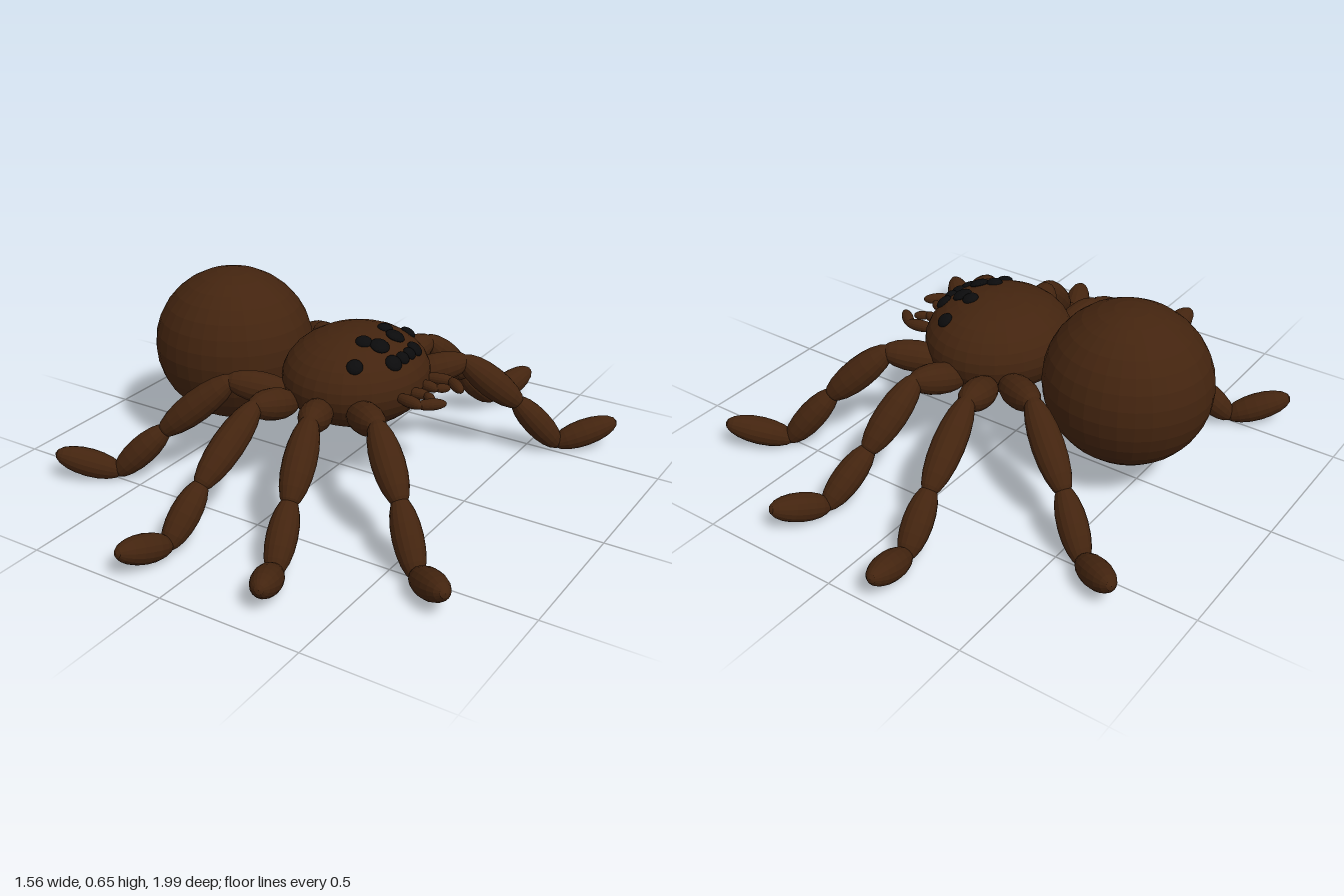
import * as THREE from 'three';

const BODY = { c: new THREE.Vector3(0.07, 0.395, 0), r: new THREE.Vector3(0.25, 0.165, 0.27) };

export function createModel() {
  const group = new THREE.Group();
  group.name = 'spider';
  const brown = new THREE.MeshStandardMaterial({ color: 0x43240f, flatShading: true });
  brown.name = 'dark brown';
  const black = new THREE.MeshStandardMaterial({ color: 0x0b0b0c, flatShading: true });
  black.name = 'eye black';

  const sphere = new THREE.SphereGeometry(1, 32, 16);
  const smallSphere = new THREE.SphereGeometry(1, 16, 10);
  const up = new THREE.Vector3(0, 1, 0);

  const ellipsoid = (name, parent, geometry, material, centre, radii) => {
    const mesh = new THREE.Mesh(geometry, material);
    mesh.name = name;
    mesh.position.copy(centre);
    mesh.scale.copy(radii);
    parent.add(mesh);
    return mesh;
  };

  // Ellipsoid stretched between two points, overlapping its neighbours a little
  const segment = (name, parent, a, b, radius, overlap) => {
    const dir = b.clone().sub(a);
    const mesh = ellipsoid(name, parent, smallSphere, brown, a.clone().add(b).multiplyScalar(0.5),
      new THREE.Vector3(radius, dir.length() / 2 + overlap, radius));
    mesh.quaternion.setFromUnitVectors(up, dir.normalize());
  };

  // Body
  ellipsoid('abdomen', group, sphere, brown, new THREE.Vector3(-0.447, 0.393, 0),
    new THREE.Vector3(0.288, 0.275, 0.275));
  ellipsoid('headThorax', group, sphere, brown, BODY.c, BODY.r);

  // Legs: joints from body to tip, mirrored across z
  const legs = [
    ['frontLeg', [[0.17, 0.34, 0.17], [0.33, 0.385, 0.30], [0.485, 0.22, 0.42], [0.605, 0.045, 0.52], [0.765, 0.115, 0.65]]],
    ['midFrontLeg', [[0.07, 0.34, 0.22], [0.135, 0.385, 0.39], [0.185, 0.20, 0.58], [0.235, 0.05, 0.74], [0.305, 0.11, 0.91]]],
    ['midRearLeg', [[-0.045, 0.34, 0.22], [-0.08, 0.385, 0.39], [-0.115, 0.20, 0.64], [-0.135, 0.05, 0.79], [-0.165, 0.11, 0.98]]],
    ['rearLeg', [[-0.08, 0.34, 0.17], [-0.26, 0.39, 0.28], [-0.46, 0.20, 0.40], [-0.595, 0.045, 0.495], [-0.76, 0.115, 0.61]]],
  ];
  const parts = [['coxa', 0.055, 0.02], ['femur', 0.055, 0.025], ['shin', 0.05, 0.02], ['foot', 0.049, 0.015]];
  for (const [side, s] of [['right', 1], ['left', -1]]) {
    for (const [name, joints] of legs) {
      const leg = new THREE.Group();
      leg.name = `${name}_${side}`;
      const p = joints.map(([x, y, z]) => new THREE.Vector3(x, y, z * s));
      parts.forEach(([part, radius, overlap], i) => segment(part, leg, p[i], p[i + 1], radius, overlap));
      group.add(leg);
    }

    // Curved mouthparts: a longer outer pair and a short inner pair
    const mouth = new THREE.Group();
    mouth.name = `mouthparts_${side}`;
    const v = (x, z) => new THREE.Vector3(x, 0.393, z * s);
    segment('outerBase', mouth, v(0.29, 0.095), v(0.385, 0.115), 0.021, 0.01);
    segment('outerFang', mouth, v(0.375, 0.115), v(0.44, 0.06), 0.02, 0.01);
    segment('innerBase', mouth, v(0.30, 0.04), v(0.365, 0.03), 0.019, 0.01);
    segment('innerFang', mouth, v(0.36, 0.032), v(0.395, 0.055), 0.016, 0.008);
    group.add(mouth);
  }

  // Eyes: flattened beads seated on the head surface
  const eyes = [[0.17, 0.175, 0.028], [0.14, 0.07, 0.028], [0.19, 0.05, 0.034], [0.255, 0.07, 0.03], [0.262, 0.022, 0.024]];
  for (const s of [1, -1]) {
    for (const [x, z, r] of eyes) {
      const dx = (x - BODY.c.x) / BODY.r.x, dz = (z * s) / BODY.r.z;
      const dy = Math.sqrt(1 - dx * dx - dz * dz);
      const eye = ellipsoid('eye', group, smallSphere, black,
        new THREE.Vector3(x, BODY.c.y + dy * BODY.r.y, z * s), new THREE.Vector3(r, 0.016, r));
      const normal = new THREE.Vector3(dx / BODY.r.x, dy / BODY.r.y, dz / BODY.r.z).normalize();
      eye.quaternion.setFromUnitVectors(up, normal);
    }
  }
  return group;
}
